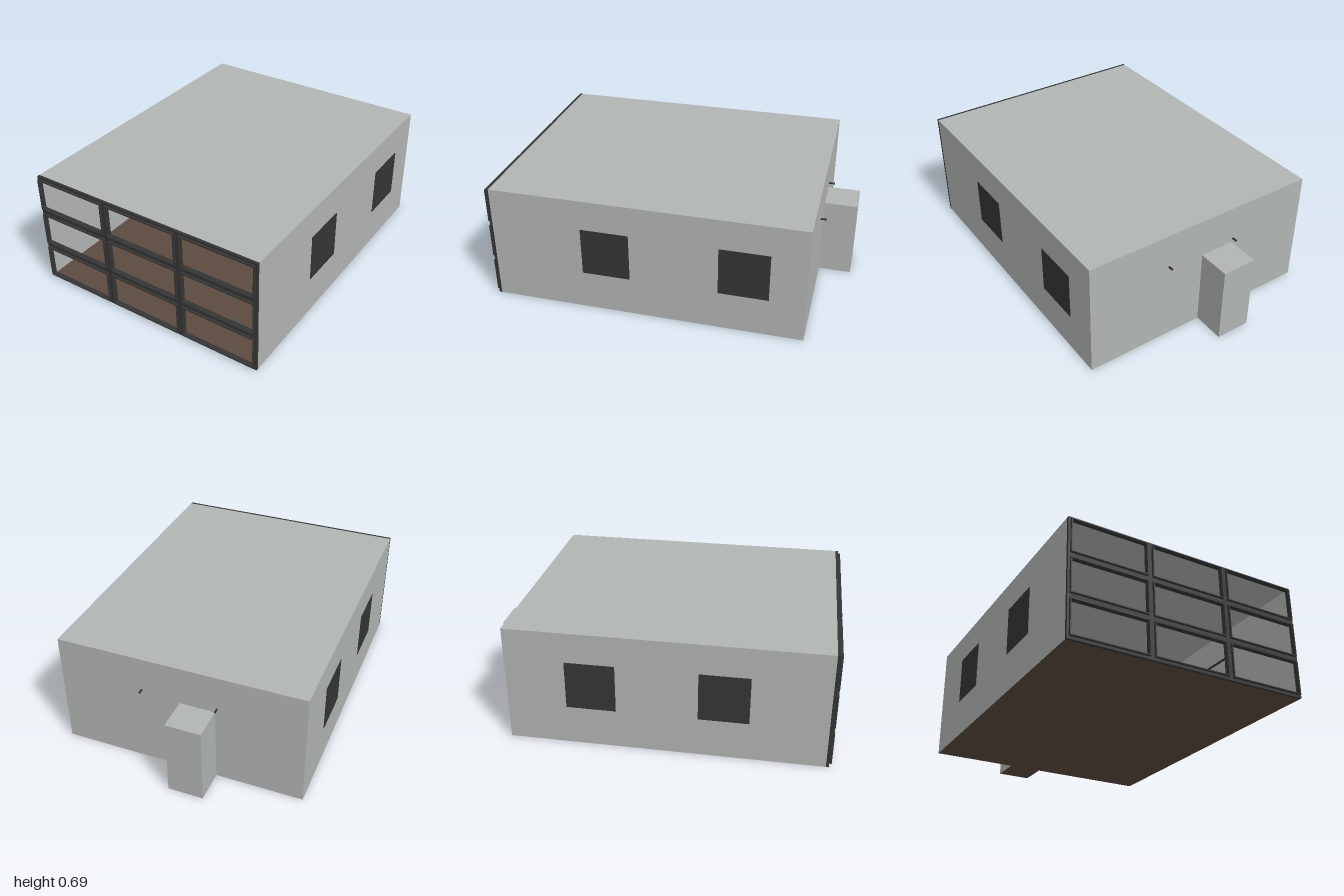
import * as THREE from 'three';

const W = 0.715, H = 0.69, BACK = -0.81, FRONT = 0.97;
const wallMat = new THREE.MeshStandardMaterial({ color: 0xb0b4b2, side: THREE.DoubleSide });
wallMat.name = 'plaster grey';
const floorMat = new THREE.MeshStandardMaterial({ color: 0x5c4a3f, side: THREE.DoubleSide });
floorMat.name = 'wood brown';
const darkMat = new THREE.MeshStandardMaterial({ color: 0x353535 });
darkMat.name = 'dark metal';

function add(parent, name, geo, mat) {
  const mesh = new THREE.Mesh(geo, mat);
  mesh.name = name;
  parent.add(mesh);
  return mesh;
}

// Box given by its min and max on each axis
function box(parent, name, x0, x1, y0, y1, z0, z1, mat = darkMat) {
  const m = add(parent, name, new THREE.BoxGeometry(x1 - x0, y1 - y0, z1 - z0), mat);
  m.position.set((x0 + x1) / 2, (y0 + y1) / 2, (z0 + z1) / 2);
  return m;
}

// Flat sheets: horizontal at height y, or upright facing sideways at x
function sheetY(parent, name, x0, x1, z0, z1, y, mat) {
  const m = add(parent, name, new THREE.PlaneGeometry(x1 - x0, z1 - z0).rotateX(-Math.PI / 2), mat);
  m.position.set((x0 + x1) / 2, y, (z0 + z1) / 2);
}
function sheetX(parent, name, x, y0, y1, z0, z1, mat) {
  const m = add(parent, name, new THREE.PlaneGeometry(z1 - z0, y1 - y0).rotateY(Math.PI / 2 * (x < -0.1 ? -1 : 1)), mat);
  m.position.set(x, (y0 + y1) / 2, (z0 + z1) / 2);
}

// Thin rectangular rim lying in the xy plane, inside the given opening
function rimXY(parent, name, x0, x1, y0, y1, z0, z1, t, mat = darkMat) {
  const g = new THREE.Group();
  g.name = name;
  box(g, 'rimLeft', x0, x0 + t, y0, y1, z0, z1, mat);
  box(g, 'rimRight', x1 - t, x1, y0, y1, z0, z1, mat);
  box(g, 'rimBottom', x0 + t, x1 - t, y0, y0 + t, z0, z1, mat);
  box(g, 'rimTop', x0 + t, x1 - t, y1 - t, y1, z0, z1, mat);
  parent.add(g);
}

function rod(parent, name, a, b, r) {
  const curve = new THREE.LineCurve3(new THREE.Vector3(...a), new THREE.Vector3(...b));
  add(parent, name, new THREE.TubeGeometry(curve, 1, r, 8), darkMat);
}

function buildShell(model) {
  const g = new THREE.Group();
  g.name = 'shell';
  sheetY(g, 'floor', -W, W, BACK, FRONT, 0, floorMat);
  sheetY(g, 'roof', -W, W, BACK, FRONT, H, wallMat);
  for (const s of [-1, 1]) sheetX(g, 'sideWall', s * W, 0, H, BACK, FRONT, wallMat);

  // Back wall with the doorway cut out
  const s = new THREE.Shape([[-W, 0], [-0.21, 0], [-0.21, 0.46], [-0.005, 0.46], [-0.005, 0], [W, 0], [W, H], [-W, H]]
    .map(p => new THREE.Vector2(...p)));
  add(g, 'backWall', new THREE.ShapeGeometry(s), wallMat).position.z = BACK;
  model.add(g);
}

function buildAlcove(model) {
  const g = new THREE.Group();
  g.name = 'doorAlcove';
  sheetY(g, 'alcoveFloor', -0.21, -0.005, -1, BACK, 0, floorMat);
  sheetY(g, 'alcoveRoof', -0.21, -0.005, -1, BACK, 0.46, wallMat);
  sheetX(g, 'alcoveSide', -0.21, 0, 0.46, -1, BACK, wallMat);
  sheetX(g, 'alcoveSide', -0.005, 0, 0.46, -1, BACK, wallMat);
  const back = add(g, 'alcoveBack', new THREE.PlaneGeometry(0.205, 0.46), wallMat);
  back.position.set(-0.1075, 0.23, -1);
  // Raised door panels
  for (const [y0, y1] of [[0.03, 0.135], [0.18, 0.29], [0.335, 0.445]])
    rimXY(g, 'doorPanel', -0.18, -0.035, y0, y1, -0.999, -0.993, 0.003, wallMat);
  // Door fittings
  box(g, 'doorHook', -0.198, -0.187, 0.41, 0.5, -0.805, -0.79);
  box(g, 'doorHook', -0.027, -0.015, 0.41, 0.5, -0.805, -0.79);
  box(g, 'doorHandle', -0.204, -0.194, 0.17, 0.25, -0.805, -0.79);
  model.add(g);
}

function buildFrontFrame(model) {
  const g = new THREE.Group();
  g.name = 'frontFrame';
  const cols = [[-W, -0.702], [-0.257, -0.225], [0.223, 0.255], [0.702, W]];
  const rows = [[0, 0.018], [0.215, 0.249], [0.446, 0.48], [0.675, H]];
  for (const [x0, x1] of cols) box(g, 'mullion', x0, x1, 0, H, FRONT, 0.986);
  for (const [y0, y1] of rows) box(g, 'crossBar', -W, W, y0, y1, FRONT, 0.985);
  // Narrow rim round each of the nine openings
  for (let i = 0; i < 3; i++)
    for (let j = 0; j < 3; j++)
      rimXY(g, 'paneRim', cols[i][1] - 0.002, cols[i + 1][0] + 0.002,
        rows[j][1] - 0.002, rows[j + 1][0] + 0.002, FRONT, 1, 0.006);
  model.add(g);
}

function buildWindows(model) {
  const spans = { '1': [[0.17, 0.445], [-0.61, -0.33]], '-1': [[0.265, 0.545], [-0.47, -0.19]] };
  for (const s of [1, -1])
    for (const [z0, z1] of spans[s]) {
      const g = new THREE.Group();
      g.name = 'sideWindow';
      const y0 = 0.232, y1 = 0.513, t = 0.012;
      const plate = (name, inner, outer, ya, yb, za, zb) =>
        box(g, name, Math.min(s * inner, s * outer), Math.max(s * inner, s * outer), ya, yb, za, zb);
      plate('windowPane', W + 0.001, W + 0.004, y0, y1, z0, z1);
      // Inner surround
      plate('windowSill', W - 0.008, W - 0.001, y0, y0 + t, z0, z1);
      plate('windowHead', W - 0.008, W - 0.001, y1 - t, y1, z0, z1);
      plate('windowJamb', W - 0.008, W - 0.001, y0, y1, z0, z0 + t);
      plate('windowJamb', W - 0.008, W - 0.001, y0, y1, z1 - t, z1);
      model.add(g);
    }
}

function buildHangingRack(model) {
  const g = new THREE.Group();
  g.name = 'hangingRack';
  const z = -0.55;
  // Ceiling mount
  add(g, 'ceilingMount', new THREE.CylinderGeometry(0.062, 0.072, 0.022, 24), darkMat).position.set(0, 0.667, z);
  // Cross bar and its suspension wires
  box(g, 'rackBar', -0.225, 0.225, 0.505, 0.52, z - 0.01, z + 0.01);
  for (const [x0, x1] of [[-0.03, -0.145], [-0.03, -0.085], [0.06, 0.225]])
    rod(g, 'wire', [x0, 0.657, z], [x1, 0.518, z], 0.003);
  // Shelf strip and wall brackets that pass through the back wall
  box(g, 'wallStrip', -0.305, 0.305, 0.478, 0.49, BACK + 0.002, BACK + 0.02);
  for (const x of [-0.22, 0.22])
    rod(g, 'bracket', [x, 0.483, -0.845], [x, 0.483, z], 0.006);
  model.add(g);
}

export function createModel() {
  const model = new THREE.Group();
  model.name = 'room';
  buildShell(model);
  buildAlcove(model);
  buildFrontFrame(model);
  buildWindows(model);
  buildHangingRack(model);
  return model;
}
